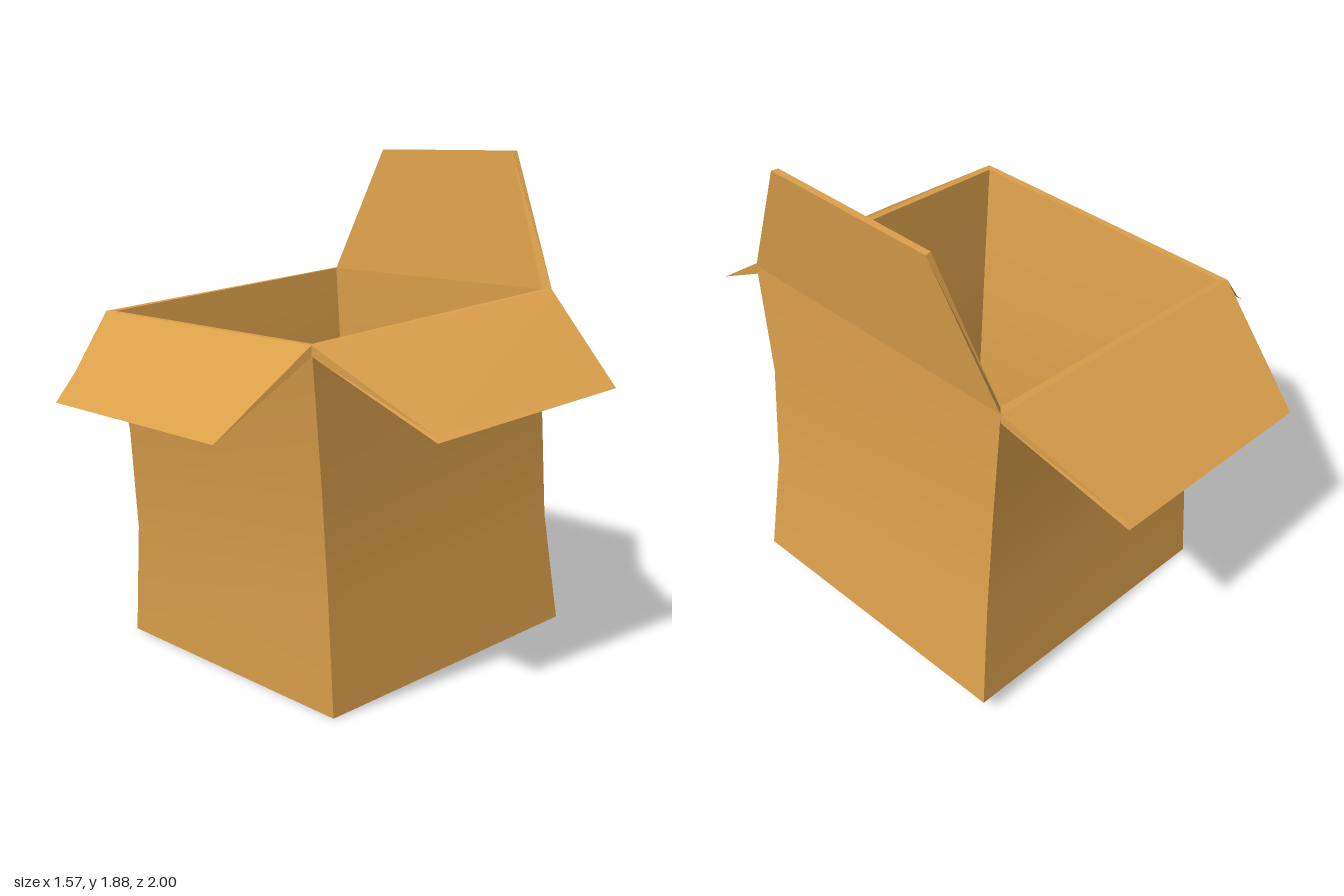
import * as THREE from 'three';

const cardboard = new THREE.MeshStandardMaterial({ color: 0xdba04b });
cardboard.name = 'cardboard';
const WALL = 0.025;

// Rings from base to rim: left x, left y, right x, right y, front z, back z
const RINGS = [
  [-0.38, 0.0, 0.785, 0.095, 0.595, -0.578],
  [-0.385, 0.43, 0.725, 0.51, 0.57, -0.545],
  [-0.415, 0.82, 0.69, 0.93, 0.57, -0.545],
  [-0.485, 1.285, 0.687, 1.38, 0.6, -0.58],
];
const v = (x, y, z) => new THREE.Vector3(x, y, z);

// Four ring corners, counterclockwise seen from above
function ring([lx, ly, rx, ry, f, b], inset = 0, lift = 0) {
  const l = lx + inset, r = rx - inset, zf = f - inset, zb = b + inset;
  return [v(l, ly + lift, zf), v(r, ry + lift, zf), v(r, ry + lift, zb), v(l, ly + lift, zb)];
}

function mesh(name, points, index) {
  const g = new THREE.BufferGeometry().setFromPoints(points);
  if (index) g.setIndex(index);
  g.computeVertexNormals();
  const m = new THREE.Mesh(g, cardboard);
  m.name = name;
  return m;
}

// Flat polygon as a triangle fan, skipping collapsed triangles
function fan(loop) {
  const out = [];
  for (let i = 1; i < loop.length - 1; i++) {
    const t = new THREE.Triangle(loop[0], loop[i], loop[i + 1]);
    if (t.getArea() > 1e-7) out.push(t.a, t.b, t.c);
  }
  return out;
}

// Smooth vertical strip running through paired edge points
function strip(name, left, right) {
  const points = [], index = [];
  left.forEach((p, i) => {
    points.push(p, right[i]);
    const a = 2 * i;
    if (i < left.length - 1) index.push(a, a + 1, a + 3, a, a + 3, a + 2);
  });
  return mesh(name, points, index);
}

// Closed slab between an outside loop and a matching underside loop
function slab(name, top, bottom) {
  const tris = [...fan(top), ...fan([...bottom].reverse())];
  top.forEach((p, i) => {
    const j = (i + 1) % top.length;
    tris.push(...fan([bottom[i], bottom[j], top[j], p]));
  });
  return mesh(name, tris);
}

// Drooping flap: hinge a-b (left to right from outside), thinning to tip d-c
function droopingFlap(name, a, b, c, d, under) {
  const along = c.clone().sub(d).normalize().multiplyScalar(0.02);
  const pl = d.clone().lerp(a, 0.06).add(along);
  const pr = c.clone().lerp(b, 0.06).sub(along);
  const a2 = a.clone().add(under), b2 = b.clone().add(under);
  return slab(name, [pl, d, c, pr, b, a], [d, d, c, c, b2, a2]);
}

export function createModel() {
  const group = new THREE.Group();
  group.name = 'openBox';

  // Bowed walls, outside and inside
  const outer = RINGS.map((r) => ring(r));
  const inner = RINGS.map((r, i) => ring(r, WALL, i === 0 ? WALL : 0));
  const sides = ['front', 'right', 'back', 'left'];
  const modelSide = { front: 'front', right: 'left', back: 'back', left: 'right' };
  sides.forEach((side, k) => {
    const n = (k + 1) % 4, s = modelSide[side];
    const col = (rings, c) => rings.map((r) => r[c]);
    group.add(strip(s + 'WallOutside', col(outer, k), col(outer, n)));
    group.add(strip(s + 'WallInside', col(inner, n), col(inner, k)));
    group.add(mesh(s + 'Rim', fan([outer[3][k], outer[3][n], inner[3][n], inner[3][k]])));
  });

  // Floor
  group.add(mesh('floorUnderside', fan([...outer[0]].reverse())));
  group.add(mesh('floorInside', fan(inner[0])));

  // Three drooping flaps
  const [fl, fr, br, bl] = outer[3];
  const down = v(0, -0.035, 0);
  group.add(droopingFlap('frontFlap', fl, fr, v(0.56, 1.08, 1), v(-0.32, 1.01, 1), down));
  group.add(droopingFlap('backFlap', br, bl, v(-0.32, 1.01, -1), v(0.56, 1.08, -1), down));
  group.add(droopingFlap('rightFlap', bl, fl, v(-0.785, 0.985, 0.475), v(-0.785, 0.985, -0.465), v(0.005, -0.035, 0)));

  // Raised flap
  group.add(slab('leftFlap',
    [fr, br, v(0.745, 1.88, -0.34), v(0.745, 1.88, 0.365)],
    [inner[3][1], inner[3][2], v(0.72, 1.88, -0.335), v(0.72, 1.88, 0.36)]));

  return group;
}
